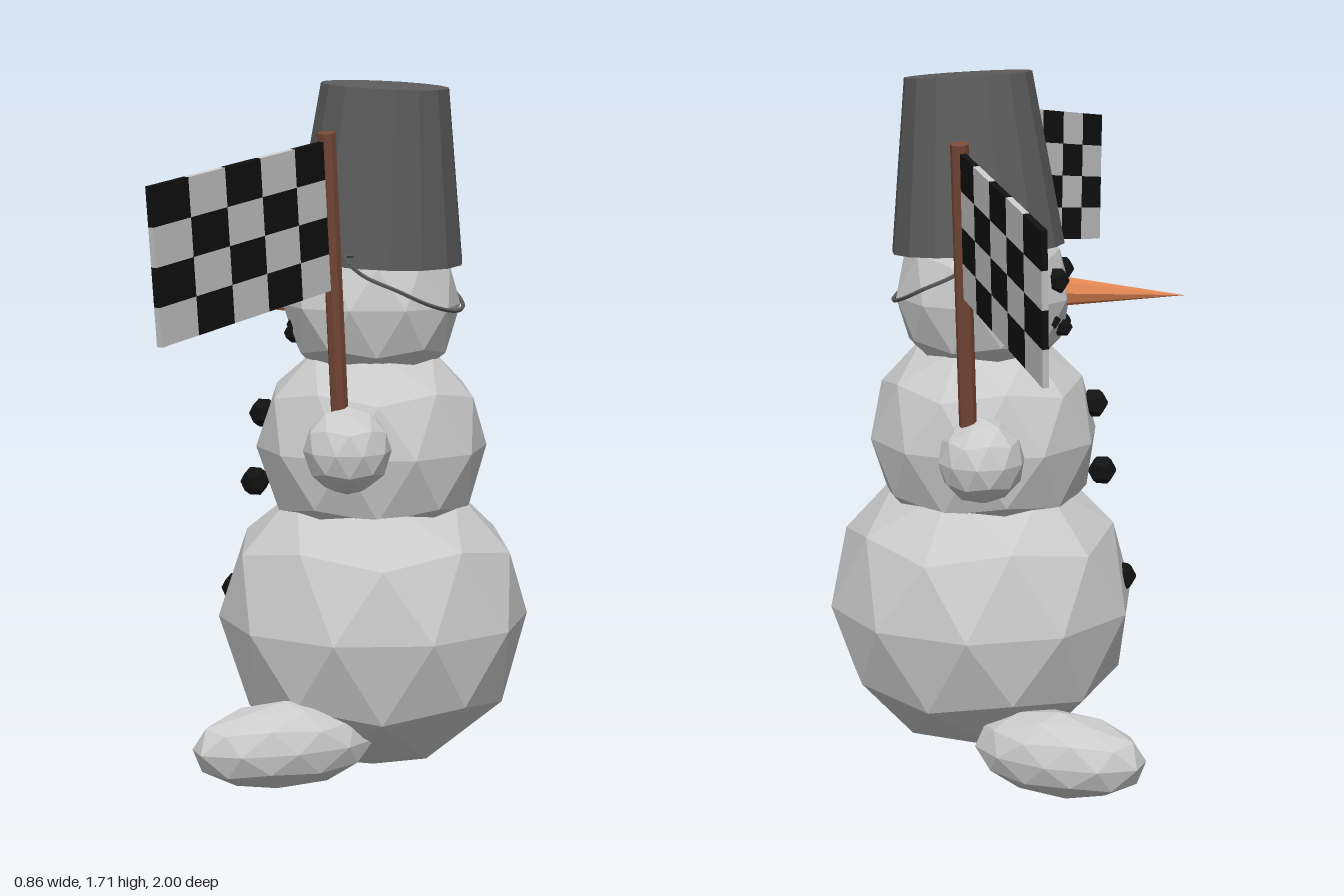
import * as THREE from 'three';
import { mergeGeometries } from 'three/addons/utils/BufferGeometryUtils.js';

const V = (x, y, z) => new THREE.Vector3(x, y, z);
const material = (color, side = THREE.FrontSide) =>
  new THREE.MeshStandardMaterial({ color, flatShading: true, side });

export function createModel() {
  const model = new THREE.Group();
  model.name = 'snowman';
  const snow = material(0xcccccc);
  const coal = material(0x111111);
  const carrot = material(0xe08552);
  const wood = material(0x7a4a38);
  const metal = material(0x5c5c5c, THREE.DoubleSide);

  function add(name, geometry, mat, position = V(0, 0, 0), parent = model) {
    const mesh = new THREE.Mesh(geometry, mat);
    mesh.name = name;
    mesh.position.copy(position);
    parent.add(mesh);
    return mesh;
  }

  // Faceted ball with a corner at its top and bottom
  const ball = (r) => new THREE.IcosahedronGeometry(r, 1)
    .rotateZ(-Math.atan(2 / (1 + Math.sqrt(5))));

  // Straight round bar between two points
  function bar(name, from, to, rFrom, rTo, sides, mat, open = false, parent = model) {
    const axis = to.clone().sub(from);
    const geometry = new THREE.CylinderGeometry(rTo, rFrom, axis.length(), sides, 1, open);
    const mesh = add(name, geometry, mat, from.clone().lerp(to, 0.5), parent);
    mesh.quaternion.setFromUnitVectors(V(0, 1, 0), axis.normalize());
    return mesh;
  }

  // Body, stacked from three snowballs
  add('lowerBody', ball(0.385), snow, V(0.065, 0.4, 0));
  add('upperBody', ball(0.285), snow, V(0.06, 0.825, 0));
  add('head', ball(0.218), snow, V(0.06, 1.175, 0));

  // Hands
  add('nearHand', ball(0.104), snow, V(0.085, 0.86, 0.33));
  add('farHand', ball(0.104), snow, V(0.035, 0.835, -0.31));

  // Feet, stretched balls turned outward
  function foot(name, position, length, turn) {
    const mesh = add(name, ball(1), snow, position);
    mesh.scale.set(length, 0.106, 0.106);
    mesh.rotation.y = turn;
  }
  foot('nearFoot', V(-0.07, 0.145, 0.335), 0.23, 0.62);
  foot('farFoot', V(-0.155, 0.11, -0.32), 0.22, -0.3);

  // Carrot nose
  bar('nose', V(-0.12, 1.186, -0.004), V(-0.43, 1.18, 0), 0.038, 0, 8, carrot);

  // Coal buttons and eyes
  const lump = (r) => new THREE.DodecahedronGeometry(r, 0);
  [V(-0.21, 0.9, 0.025), V(-0.232, 0.728, 0.03), V(-0.285, 0.455, 0.025)]
    .forEach((p) => add('button', lump(0.037), coal, p));
  for (const s of [-1, 1]) add('eye', lump(0.032), coal, V(-0.125, 1.225, s * 0.082));

  // Mouth, a smile of small lumps
  for (let i = -2; i <= 2; i++) {
    add('mouthPiece', lump(0.022), coal,
      V(-0.137 + 0.006 * i * i, 1.095 + 0.008 * i * i, i * 0.038));
  }

  // Tilted bucket hat: open wall and closed top
  const hat = new THREE.Group();
  hat.name = 'bucketHat';
  model.add(hat);
  const hatBase = V(0.075, 1.288, 0.012);
  const hatTop = V(0.101, 1.706, 0.034);
  const wall = bar('bucketWall', hatBase, hatTop, 0.212, 0.156, 16, metal, true, hat);
  const lid = add('bucketTop', new THREE.CircleGeometry(0.156, 16).rotateX(-Math.PI / 2),
    metal, hatTop, hat);
  lid.quaternion.copy(wall.quaternion);

  // Bucket handle: hooks at each side and an arc hanging at the back
  const path = [V(0.07, 1.305, 0.205), V(0.06, 1.305, 0.265), V(0.1, 1.265, 0.255)];
  for (let i = 1; i < 8; i++) {
    const a = (i / 8) * Math.PI;
    path.push(V(0.12 + 0.16 * Math.sin(a), 1.262 - 0.097 * Math.sin(a), 0.24 * Math.cos(a)));
  }
  path.push(V(0.1, 1.265, -0.235), V(0.06, 1.305, -0.235), V(0.07, 1.305, -0.185));
  add('bucketHandle', new THREE.TubeGeometry(new THREE.CatmullRomCurve3(path), 48, 0.005, 5),
    metal, V(0, 0, 0), hat);

  // Two mirrored checkered flags, 5 by 4 cells each
  for (const s of [-1, 1]) {
    const flag = new THREE.Group();
    flag.name = s > 0 ? 'nearFlag' : 'farFlag';
    model.add(flag);
    bar('flagPole', V(0.065, 0.87, s * 0.31), V(0.068, 1.6, s * 0.449), 0.021, 0.021, 8, wood, false, flag);

    const corner = V(0.065, 1.582, s * 0.447);
    const across = V(-0.23, -0.084, s * 0.55).divideScalar(5);
    const down = V(0, -0.34, s * -0.063).divideScalar(4);
    const normal = across.clone().cross(down).normalize().multiplyScalar(0.014);
    const cells = [[], []];
    for (let c = 0; c < 5; c++) {
      for (let r = 0; r < 4; r++) {
        const center = corner.clone()
          .addScaledVector(across, c + 0.5).addScaledVector(down, r + 0.5);
        const matrix = new THREE.Matrix4().makeBasis(across, down, normal).setPosition(center);
        cells[(c + r) % 2].push(new THREE.BoxGeometry(1, 1, 1).applyMatrix4(matrix));
      }
    }
    add('darkCells', mergeGeometries(cells[0]), coal, V(0, 0, 0), flag);
    add('lightCells', mergeGeometries(cells[1]), snow, V(0, 0, 0), flag);
  }

  return model;
}
